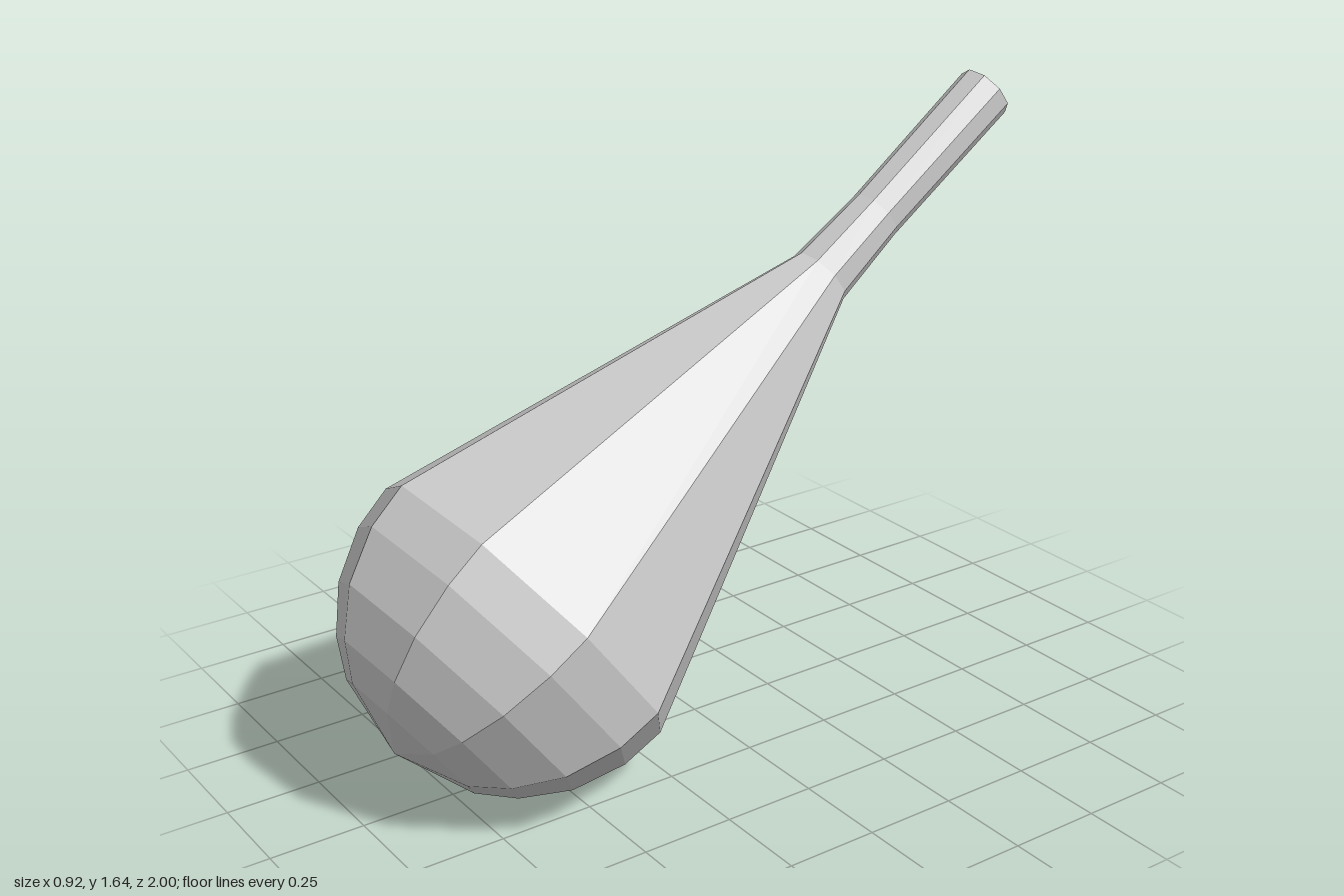
import * as THREE from 'three';

// Nine-sided tilted club: round bulb, long taper and slim handle on one axis.
const SIDES = 9;
const START = THREE.MathUtils.degToRad(-10);
const TILT = Math.acos(0.6); // axis leans from up towards the back
const LEAN = 0.0045; // slight sideways lean

// Turns a [radius, distance along axis] profile into a tilted faceted part
function turned(name, profile) {
  const points = profile.map(([r, s]) => new THREE.Vector2(r, s));
  const geometry = new THREE.LatheGeometry(points, SIDES, START);
  geometry.rotateZ(LEAN).rotateX(-TILT);
  const material = new THREE.MeshStandardMaterial({ color: 0xcccccc, flatShading: true });
  const mesh = new THREE.Mesh(geometry, material);
  mesh.name = name;
  return mesh;
}

export function createModel() {
  const club = new THREE.Group();
  club.name = 'club';

  // Rounded head, from its pole to the widest ring
  const R = 0.473;
  const head = [[0, -0.478]];
  for (const degrees of [63, 49.3, 32.5, 14.6, 0]) {
    const a = THREE.MathUtils.degToRad(degrees);
    head.push([R * Math.cos(a), -R * Math.sin(a)]);
  }
  club.add(turned('head', head));

  // Straight taper from the widest ring to the neck
  club.add(turned('taper', [[R, 0], [0.0865, 1.161]]));

  // Handle with a slight waist and a flat end
  club.add(turned('handle', [[0.0865, 1.161], [0.075, 1.389], [0.079, 1.856], [0, 1.856]]));

  club.position.set(0.0125, 0.4725, 0.53);
  const model = new THREE.Group();
  model.add(club);
  return model;
}
